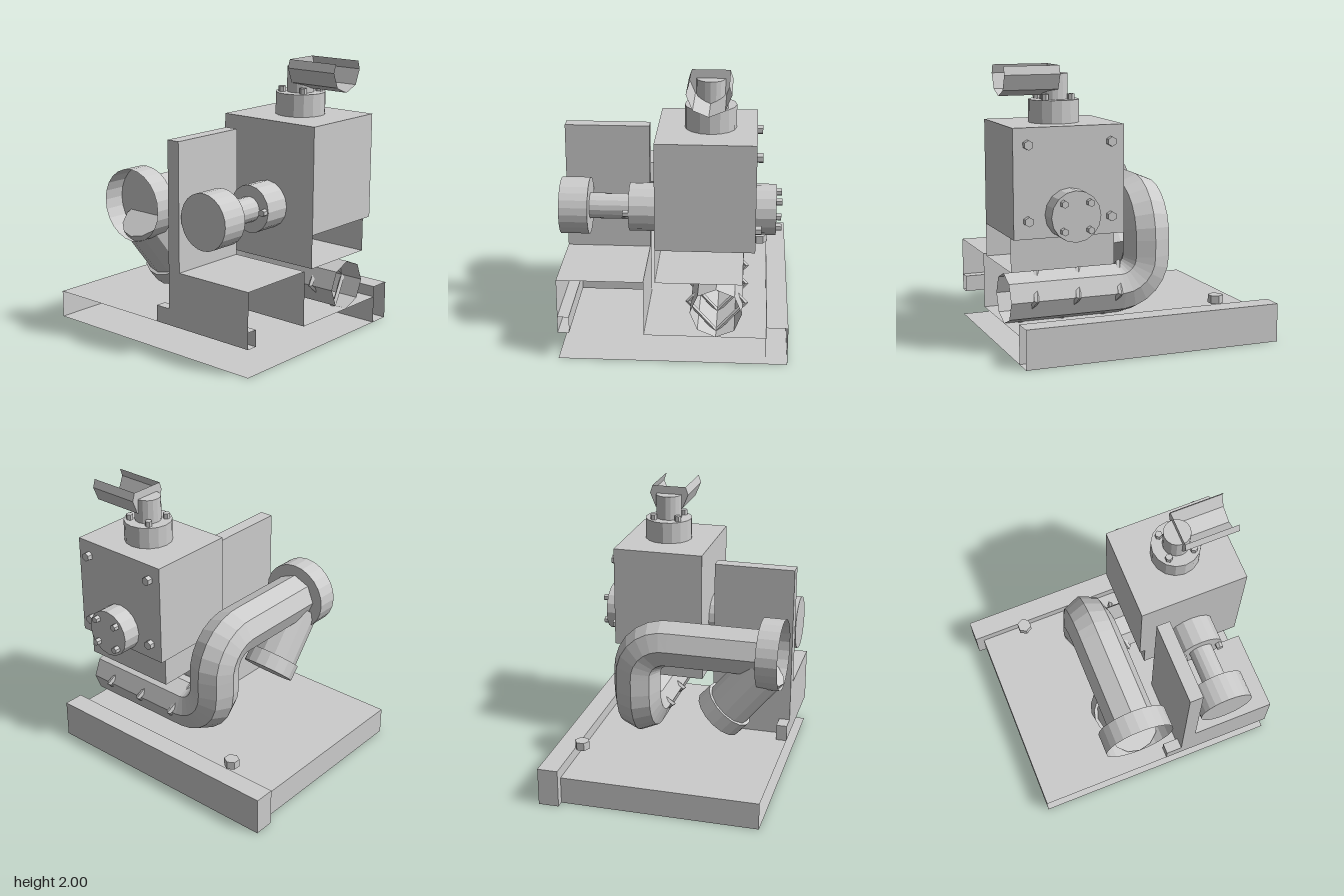
import * as THREE from 'three';

const metal = new THREE.MeshStandardMaterial({ color: 0xcccccc, flatShading: true, side: THREE.DoubleSide });
metal.name = 'plain grey';

export function createModel() {
  const model = new THREE.Group();
  const add = (name, geometry) => {
    const mesh = new THREE.Mesh(geometry, metal);
    mesh.name = name;
    model.add(mesh);
    return mesh;
  };

  // Box from its limits, leaving out the listed sides (px nx py ny pz nz)
  const SIDES = ['px', 'nx', 'py', 'ny', 'pz', 'nz'];
  const box = (name, [x0, x1], [y0, y1], [z0, z1], open = []) => {
    const g = new THREE.BoxGeometry(x1 - x0, y1 - y0, z1 - z0);
    const index = [...g.index.array].filter((_, i) => !open.includes(SIDES[Math.floor(i / 6)]));
    g.setIndex(index);
    g.clearGroups();
    g.translate((x0 + x1) / 2, (y0 + y1) / 2, (z0 + z1) / 2);
    return add(name, g);
  };

  // Cylinder between two points
  const rod = (name, from, to, r, sides = 16, open = false) => {
    const a = new THREE.Vector3(...from), b = new THREE.Vector3(...to);
    const mesh = add(name, new THREE.CylinderGeometry(r, r, a.distanceTo(b), sides, 1, open));
    mesh.position.copy(a).add(b).multiplyScalar(0.5);
    mesh.quaternion.setFromUnitVectors(new THREE.Vector3(0, 1, 0), b.sub(a).normalize());
    return mesh;
  };
  const bolt = (from, to, r = 0.026) => rod('bolt', from, to, r, 6);

  // Base, open at the front and on the left side
  box('baseFloor', [-0.89, 0.95], [0, 0.2], [-0.65, 0.8], ['px', 'pz', 'nz', 'py']);
  box('baseTopBack', [-0.89, 0.95], [0, 0.2], [-0.65, 0.2], ['px', 'nx', 'ny', 'pz', 'nz']);
  box('baseTopFront', [-0.89, 0.23], [0, 0.2], [0.2, 0.8], ['px', 'nx', 'ny', 'pz', 'nz']);
  box('backRail', [-0.95, 0.95], [0, 0.28], [-0.8, -0.65], ['px']);
  bolt([-0.55, 0.28, -0.6], [-0.55, 0.34, -0.6], 0.055);

  // Bracket in front of the pump
  box('bracketFoot', [0.23, 0.95], [0.2, 0.6], [0.2, 0.8], ['px', 'ny']);
  box('bracketPlate', [0.23, 0.33], [0.6, 1.52], [0.2, 0.8], ['ny']);
  box('bracketStrip', [0.11, 0.95], [0.2, 0.32], [0.72, 0.8], ['px']);

  // Pump body
  box('pumpBody', [0.15, 0.95], [0.84, 1.6], [-0.56, 0.12]);
  box('pumpSump', [0.19, 0.95], [0.6, 0.84], [-0.48, 0.12], ['px', 'py']);
  for (const x of [0.25, 0.85])
    for (const y of [0.965, 1.485]) bolt([x, y, -0.56], [x, y, -0.6], 0.034);

  // Front drive: flange, shaft and wheel
  rod('driveFlange', [0.55, 1, 0.12], [0.55, 1, 0.32], 0.17);
  rod('driveShaft', [0.55, 1, 0.32], [0.55, 1, 0.6], 0.09);
  rod('driveWheel', [0.55, 1, 0.6], [0.55, 1, 0.8], 0.2, 24);
  for (const s of [-1, 1]) bolt([0.55 + s * 0.14, 1, 0.32], [0.55 + s * 0.14, 1, 0.36]);

  // Back and top flanges with four bolts each
  rod('backFlange', [0.55, 1, -0.56], [0.55, 1, -0.7], 0.178);
  rod('topFlange', [0.55, 1.6, -0.24], [0.55, 1.76, -0.24], 0.178);
  for (const s of [-0.094, 0.094])
    for (const t of [-0.094, 0.094]) {
      bolt([0.55 + s, 1 + t, -0.7], [0.55 + s, 1 + t, -0.74]);
      bolt([0.55 + s, 1.76, -0.24 + t], [0.55 + s, 1.8, -0.24 + t]);
    }
  rod('topNeck', [0.55, 1.76, -0.24], [0.55, 1.94, -0.24], 0.098);

  // Open trough on the neck: part of an octagon carried along x
  const profile = [[-0.13, 0.06], [-0.15, 0], [-0.106, -0.106], [0, -0.15], [0.106, -0.106], [0.15, 0], [0.13, 0.06]];
  const trough = new THREE.PlaneGeometry(0.4, 1, 1, profile.length - 1);
  const p = trough.attributes.position;
  for (let i = 0; i < p.count; i++) {
    const [z, y] = profile[Math.floor(i / 2)];
    p.setXYZ(i, p.getX(i) + 0.75, 1.94 + y, -0.24 + z);
  }
  trough.computeVertexNormals();
  add('trough', trough);
  const cap = new THREE.ShapeGeometry(new THREE.Shape(profile.map(([z, y]) => new THREE.Vector2(z, y))));
  cap.rotateY(-Math.PI / 2).translate(0.55, 1.94, -0.24);
  add('troughEnd', cap);

  // Main pipe: along x, up, then forward, with round bends
  const corners = [[0.95, 0.38, -0.3], [-0.13, 0.38, -0.3], [-0.13, 1, -0.3], [-0.13, 1, 0.64]]
    .map(c => new THREE.Vector3(...c));
  const path = new THREE.CurvePath();
  const bend = 0.24;
  let last = corners[0];
  for (let i = 1; i < 3; i++) {
    const c = corners[i];
    const inDir = corners[i - 1].clone().sub(c).normalize();
    const outDir = corners[i + 1].clone().sub(c).normalize();
    const at = (d, k) => c.clone().addScaledVector(d, bend * k);
    path.add(new THREE.LineCurve3(last, at(inDir, 1)));
    path.add(new THREE.CubicBezierCurve3(at(inDir, 1), at(inDir, 0.45), at(outDir, 0.45), at(outDir, 1)));
    last = at(outDir, 1);
  }
  path.add(new THREE.LineCurve3(last, corners[3]));
  add('mainPipe', new THREE.TubeGeometry(path, 40, 0.18, 8, false));

  // Slanted square rings round the lower pipe
  for (const x of [0.15, 0.465, 0.775]) {
    const ring = add('pipeRing', new THREE.TorusGeometry(0.2, 0.02, 4, 4));
    ring.rotation.set(0, Math.PI / 2, 0);
    ring.rotation.order = 'ZYX';
    ring.rotation.z = 0.33;
    ring.position.set(x, 0.385, -0.3);
  }

  // Front flange, hollow towards the front
  rod('pipeFlange', [-0.13, 1, 0.64], [-0.13, 1, 0.8], 0.26, 24, true);
  const back = add('pipeFlangeBack', new THREE.CircleGeometry(0.26, 24));
  back.position.set(-0.13, 1, 0.64);

  // Slanted branch with its collar
  rod('branchPipe', [-0.13, 0.89, 0.67], [-0.13, 0.52, 0.37], 0.178, 12);
  rod('branchCollar', [-0.13, 0.57, 0.41], [-0.13, 0.48, 0.33], 0.2, 16);

  return model;
}
